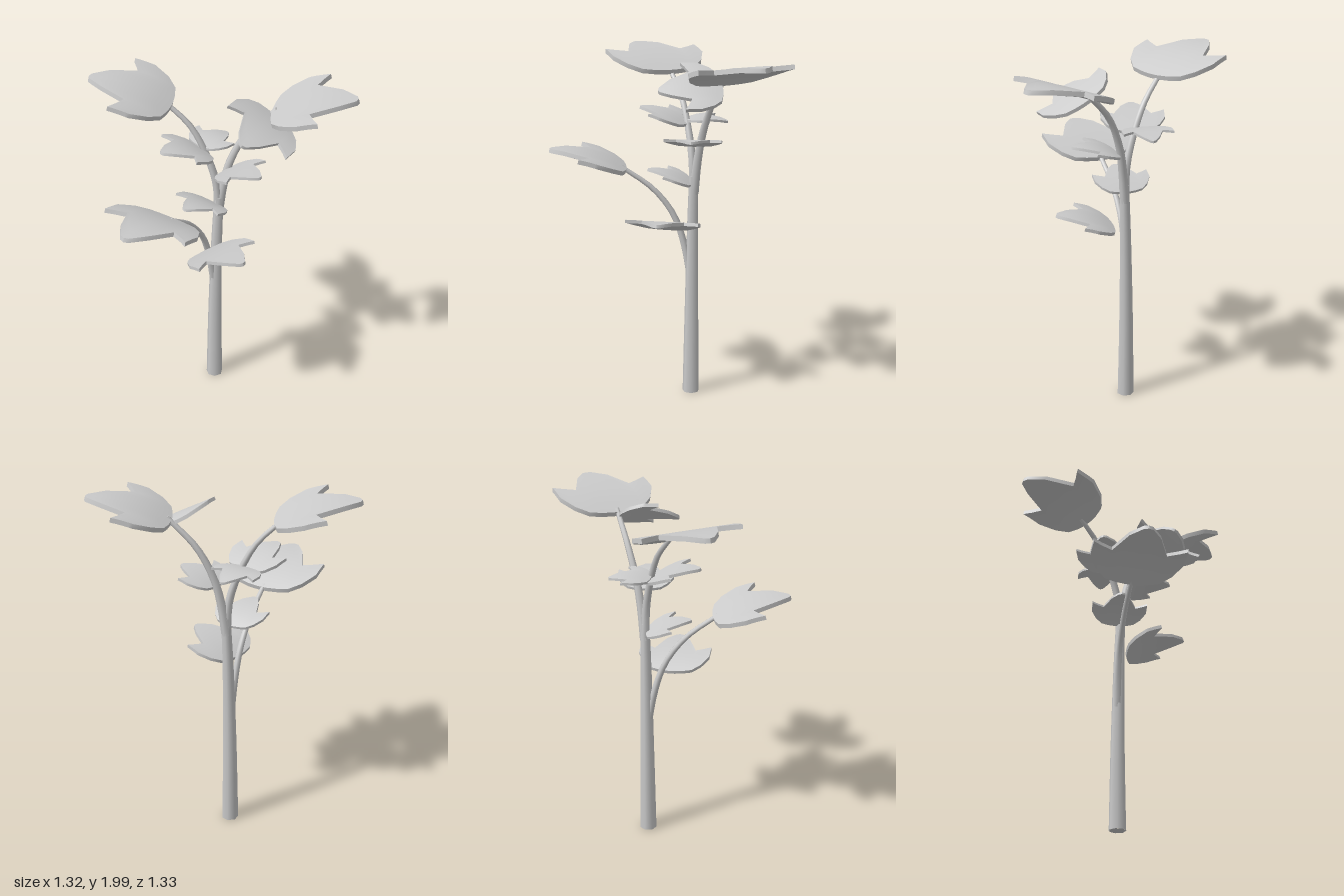
import * as THREE from 'three';
import { toCreasedNormals } from 'three/addons/utils/BufferGeometryUtils.js';

const material = new THREE.MeshStandardMaterial({ color: 0xcccccc });
const V = (p) => new THREE.Vector3(...p);

// Tapered stem along a smooth path, closed at both ends
function stem(name, points, r0, r1, sides = 7) {
  const curve = new THREE.CatmullRomCurve3(points.map(V));
  const rings = 12;
  const geo = new THREE.TubeGeometry(curve, rings, 1, sides);
  const pos = geo.attributes.position;
  const p = new THREE.Vector3();
  for (let i = 0; i < pos.count; i++) {
    const t = Math.floor(i / (sides + 1)) / rings;
    const c = curve.getPointAt(t);
    p.fromBufferAttribute(pos, i).sub(c).multiplyScalar(THREE.MathUtils.lerp(r0, r1, t)).add(c);
    pos.setXYZ(i, p.x, p.y, p.z);
  }
  const group = new THREE.Group();
  group.name = name;
  group.add(new THREE.Mesh(geo, material));
  for (const [t, r, s] of [[0, r0, -1], [1, r1, 1]]) {
    const cap = new THREE.Mesh(new THREE.CircleGeometry(r, sides), material);
    cap.position.copy(curve.getPointAt(t));
    cap.quaternion.setFromUnitVectors(V([0, 0, 1]), curve.getTangentAt(t).multiplyScalar(s));
    group.add(cap);
  }
  group.children.forEach((m) => { m.name = name + 'Part'; });
  return group;
}

// Half outline of a three-lobed leaf: [across, near edge, far edge], for length 1
const OUTLINE = [[0, 0, 1], [0.06, 0, 0.98], [0.2, 0.015, 0.81], [0.35, 0.05, 0.5], [0.49, 0.17, 0.56], [0.6, 0.37, 0.62]];

// Arched leaf slab from base to tip; a box is bent into the lobed outline
function leaf(name, base, tip, up = [0, 1, 0]) {
  const b = V(base), axis = V(tip).sub(b), length = axis.length();
  const side = axis.clone().cross(V(up)).normalize();
  const normal = side.clone().cross(axis).normalize();
  const n = OUTLINE.length - 1;
  const geo = new THREE.BoxGeometry(1, 1, 1, 6, 1, 2 * n);
  const pos = geo.attributes.position;
  const p = new THREE.Vector3();
  for (let i = 0; i < pos.count; i++) {
    const k = Math.round(pos.getZ(i) * 2 * n);
    const [across, near, far] = OUTLINE[Math.abs(k)];
    const u = THREE.MathUtils.lerp(near, far, pos.getX(i) + 0.5);
    const height = 0.28 * u * (1 - u) + (pos.getY(i) < 0 ? -0.055 : 0);
    p.copy(b).addScaledVector(axis, u)
      .addScaledVector(side, Math.sign(k) * across * length)
      .addScaledVector(normal, height * length);
    pos.setXYZ(i, p.x, p.y, p.z);
  }
  const mesh = new THREE.Mesh(toCreasedNormals(geo, 0.6), material);
  mesh.name = name;
  return mesh;
}

export function createModel() {
  const model = new THREE.Group();
  model.name = 'plant';

  // Trunk and its three branches
  model.add(
    stem('trunk', [[0.148, 0, -0.025], [0.15, 0.5, -0.025], [0.153, 1, -0.018], [0.158, 1.3, -0.008]], 0.049, 0.027),
    stem('frontBranch', [[0.158, 1.2, -0.012], [0.175, 1.38, 0.008], [0.2, 1.54, 0.04], [0.245, 1.72, 0.12], [0.3, 1.88, 0.265]], 0.028, 0.014),
    stem('backBranch', [[0.157, 1.2, -0.012], [0.148, 1.4, -0.025], [0.125, 1.58, -0.08], [0.09, 1.74, -0.16], [0.03, 1.87, -0.28]], 0.026, 0.013),
    stem('sideBranch', [[0.14, 0.72, -0.03], [0.105, 0.9, -0.035], [0.045, 1.07, -0.038], [-0.07, 1.22, -0.038], [-0.25, 1.35, -0.036]], 0.022, 0.013),
  );

  // Large leaves at the branch ends
  model.add(
    leaf('sideBranchLeaf', [-0.22, 1.345, -0.036], [-0.65, 1.46, -0.036]),
    leaf('backBranchLeaf', [0.035, 1.87, -0.235], [-0.15, 1.99, -0.655]),
    leaf('frontBranchLeaf', [0.29, 1.87, 0.24], [0.475, 1.99, 0.655]),
    leaf('tiltedLeaf', [0.295, 1.84, 0.27], [-0.05, 1.83, 0.28], [0, 0.88, 0.47]),
  );

  // Small leaves along the stems
  model.add(
    leaf('lowFrontLeaf', [0.015, 1.005, -0.01], [-0.06, 1.1, 0.31]),
    leaf('midFrontLeaf', [0.16, 1.49, 0.03], [0.125, 1.55, 0.285]),
    leaf('midRightLeaf', [0.15, 1.255, -0.03], [-0.1, 1.335, -0.06]),
    leaf('highRightLeaf', [0.125, 1.59, -0.08], [-0.14, 1.675, -0.18]),
    leaf('highLeftLeaf', [0.125, 1.61, -0.13], [0.355, 1.6, -0.09]),
  );
  return model;
}
